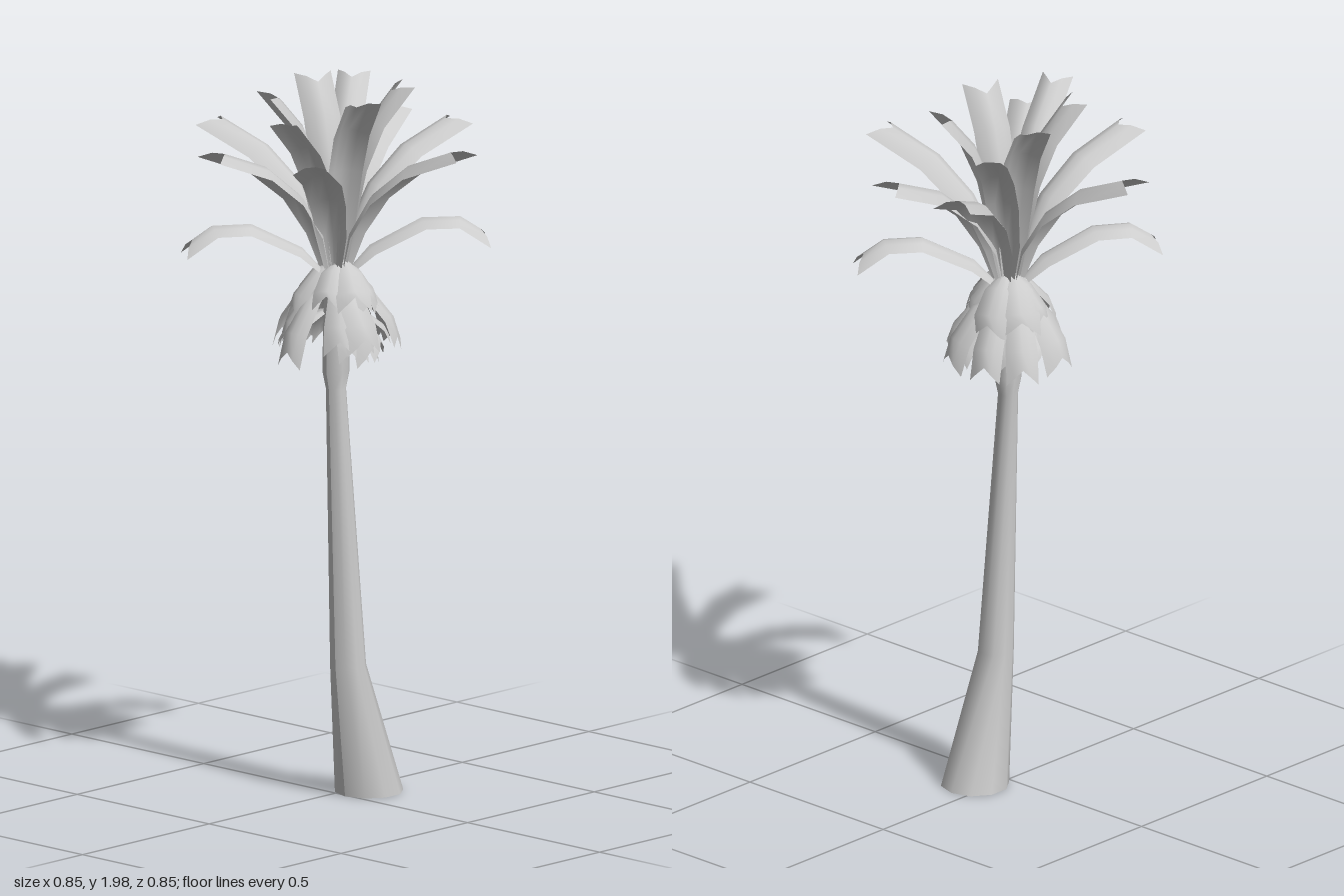
import * as THREE from 'three';

const grey = new THREE.MeshStandardMaterial({ color: 0xcccccc, side: THREE.DoubleSide });
const V = (x, y, z = 0) => new THREE.Vector3(x, y, z);

// Seeded pseudo-random numbers in 0..1
let seed = 7;
const rand = () => (seed = (seed * 16807) % 2147483647) / 2147483647;

// Arched leaf along a [radius, height, width] path, with a V notch in its tip
function leafGeometry(path, arch, notch) {
  const rows = path.length, across = [-1, -0.5, 0, 0.5, 1];
  const pos = [], index = [];
  path.forEach(([r, y, w], i) => {
    const a = path[Math.max(i - 1, 0)], b = path[Math.min(i + 1, rows - 1)];
    const t = V(b[0] - a[0], b[1] - a[1]).normalize();
    const n = V(-t.y, t.x);
    for (const s of across) {
      const p = V(r, y, s * w / 2).addScaledVector(n, arch * w * (0.5 - s * s));
      if (i === rows - 1) p.addScaledVector(t, notch * (Math.abs(s) - 1));
      pos.push(p.x, p.y, p.z);
    }
  });
  const m = across.length;
  for (let i = 0; i < rows - 1; i++) {
    for (let j = 0; j < m - 1; j++) {
      const k = i * m + j;
      index.push(k, k + 1, k + m, k + 1, k + m + 1, k + m);
    }
  }
  const g = new THREE.BufferGeometry();
  g.setAttribute('position', new THREE.Float32BufferAttribute(pos, 3));
  g.setIndex(index);
  g.computeVertexNormals();
  return g;
}

// Trunk: elliptical rings lofted up a bent line, [x, y, z, radius]
function trunkGeometry() {
  const rings = [
    [0.045, 0, -0.085, 0.095], [0.047, 0.37, 0, 0.05], [0.003, 1.14, 0.002, 0.028],
    [0.003, 1.19, 0.002, 0.038], [0.003, 1.3, 0.002, 0.036], [0, 1.5, 0, 0.03],
  ];
  const g = new THREE.CylinderGeometry(1, 1, 1, 10, rings.length - 1);
  const p = g.attributes.position;
  for (let i = 0; i < p.count; i++) {
    const row = Math.round((p.getY(i) + 0.5) * (rings.length - 1));
    const [x, y, z, r] = rings[row];
    p.setXYZ(i, x + p.getX(i) * r, y, z + p.getZ(i) * r);
  }
  g.computeVertexNormals();
  return g;
}

export function createModel() {
  const model = new THREE.Group();
  model.name = 'palmTree';
  const add = (parent, name, geometry, angle = 0) => {
    const mesh = new THREE.Mesh(geometry, grey);
    mesh.name = name;
    mesh.rotation.y = angle;
    parent.add(mesh);
    return mesh;
  };

  add(model, 'trunk', trunkGeometry());

  // Crown: frond shapes, each with the ground points its tips lie over
  const shapes = {
    drooping: {
      path: [[0.02, 1.45, 0.03], [0.1, 1.53, 0.08], [0.24, 1.6, 0.09], [0.34, 1.6, 0.09], [0.43, 1.54, 0.09]],
      tips: [[0.28, -0.35], [-0.24, 0.345]],
    },
    spreading: {
      path: [[0.015, 1.42, 0.02], [0.06, 1.58, 0.08], [0.13, 1.69, 0.1], [0.24, 1.78, 0.11], [0.415, 1.85, 0.11]],
      tips: [[-0.155, -0.39], [0.08, -0.41], [0.41, -0.09], [-0.41, 0.08], [-0.085, 0.41], [0.24, 0.34]],
    },
    raised: {
      path: [[0.015, 1.42, 0.02], [0.05, 1.6, 0.08], [0.11, 1.74, 0.09], [0.2, 1.85, 0.09], [0.345, 1.96, 0.09]],
      tips: [[0.12, 0.32], [-0.2, -0.28]],
    },
    upright: {
      path: [[0.01, 1.4, 0.02], [0.03, 1.6, 0.08], [0.06, 1.76, 0.1], [0.11, 1.88, 0.105], [0.2, 1.99, 0.105]],
      tips: [[0.095, -0.18], [0.18, 0.085], [-0.08, 0.17], [-0.165, -0.09]],
    },
  };
  const crown = new THREE.Group();
  crown.name = 'crown';
  model.add(crown);
  for (const [name, { path, tips }] of Object.entries(shapes)) {
    const geometry = leafGeometry(path, 0.28, 0.045);
    for (const [x, z] of tips) add(crown, name + 'Frond', geometry, Math.atan2(-z, x));
  }

  // Skirt: rings of dead leaves hanging round the top of the trunk
  const skirt = new THREE.Group();
  skirt.name = 'deadLeafSkirt';
  model.add(skirt);
  const ringsOfLeaves = [
    { count: 11, top: 1.45, drop: 0.2, reach: 0.16 },
    { count: 8, top: 1.5, drop: 0.14, reach: 0.13 },
    { count: 6, top: 1.36, drop: 0.11, reach: 0.12 },
  ];
  for (const { count, top, drop, reach } of ringsOfLeaves) {
    for (let i = 0; i < count; i++) {
      const r = reach * (0.85 + 0.4 * rand()), d = drop * (0.8 + 0.35 * rand());
      const w = 0.085 + 0.03 * rand();
      const path = [
        [0.02, top, 0.03], [r * 0.5, top - d * 0.2, w * 0.8],
        [r * 0.85, top - d * 0.6, w], [r, top - d, w],
      ];
      const leaf = add(skirt, 'deadLeaf', leafGeometry(path, 0.22, 0.04),
        (i + 0.6 * rand()) / count * Math.PI * 2);
      leaf.rotation.x = (rand() - 0.5) * 0.04;
    }
  }
  return model;
}
